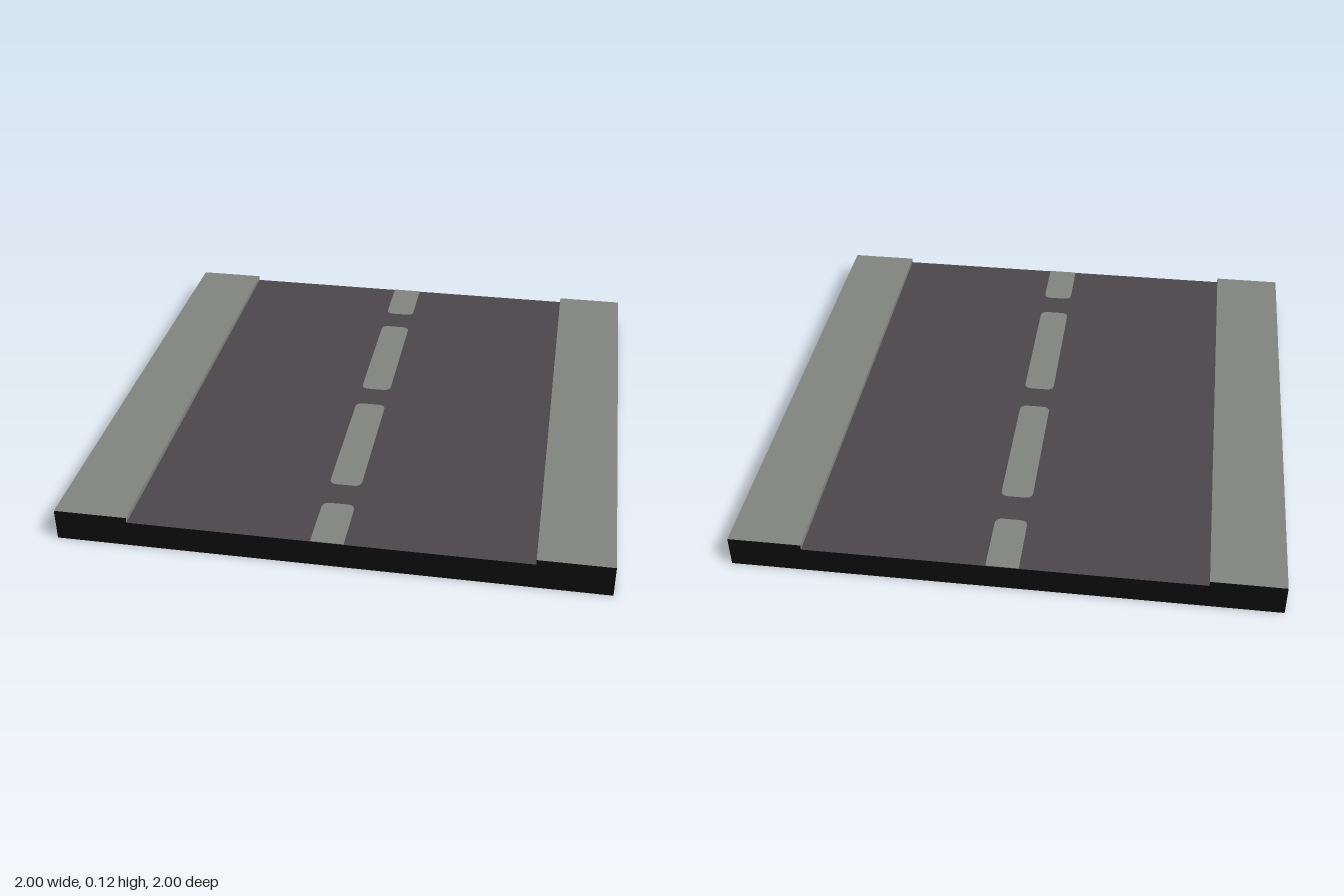
import * as THREE from 'three';

const pavement = new THREE.MeshStandardMaterial({ color: 0x82857f, name: 'pavementGrey' });
const asphalt = new THREE.MeshStandardMaterial({ color: 0x4b474a, name: 'asphalt' });
const base = new THREE.MeshStandardMaterial({ color: 0x0d0d0d, name: 'baseBlack' });

const KERB_X = 0.73, ROAD_Y = 0.1, KERB_Y = 0.12;

// Block standing on y = 0; materials in the order +x, -x, +y, -y, +z, -z
function block(name, x0, x1, height, materials) {
  const mesh = new THREE.Mesh(new THREE.BoxGeometry(x1 - x0, height, 2), materials);
  mesh.position.set((x0 + x1) / 2, height / 2, 0);
  mesh.name = name;
  return mesh;
}

// Flat lane marking from z0 to z1; ends on the tile edge stay square
function laneMark(z0, z1) {
  const w = 0.06, r = 0.03;
  const r0 = z0 <= -1 ? 0 : r, r1 = z1 >= 1 ? 0 : r;
  const top = -z0, bottom = -z1; // shape y becomes -z once laid flat
  const s = new THREE.Shape();
  s.moveTo(-w + r1, bottom);
  s.lineTo(w - r1, bottom);
  if (r1) s.quadraticCurveTo(w, bottom, w, bottom + r1);
  s.lineTo(w, top - r0);
  if (r0) s.quadraticCurveTo(w, top, w - r0, top);
  s.lineTo(-w + r0, top);
  if (r0) s.quadraticCurveTo(-w, top, -w, top - r0);
  s.lineTo(-w, bottom + r1);
  if (r1) s.quadraticCurveTo(-w, bottom, -w + r1, bottom);
  const mesh = new THREE.Mesh(new THREE.ShapeGeometry(s, 5).rotateX(-Math.PI / 2), pavement);
  mesh.position.y = ROAD_Y + 0.002;
  mesh.name = 'laneMark';
  return mesh;
}

export function createModel() {
  const group = new THREE.Group();
  group.name = 'roadTile';

  // Carriageway with dark sides
  group.add(block('road', -KERB_X, KERB_X, ROAD_Y, [base, base, asphalt, base, base, base]));

  // Raised pavements: grey top and kerb face, dark outside
  group.add(block('leftPavement', KERB_X, 1, KERB_Y, [base, pavement, pavement, base, base, base]));
  group.add(block('rightPavement', -1, -KERB_X, KERB_Y, [pavement, base, pavement, base, base, base]));

  // Dashed centre line
  for (const [z0, z1] of [[-1, -0.75], [-0.625, -0.06], [0.06, 0.645], [0.765, 1]]) {
    group.add(laneMark(z0, z1));
  }
  return group;
}
